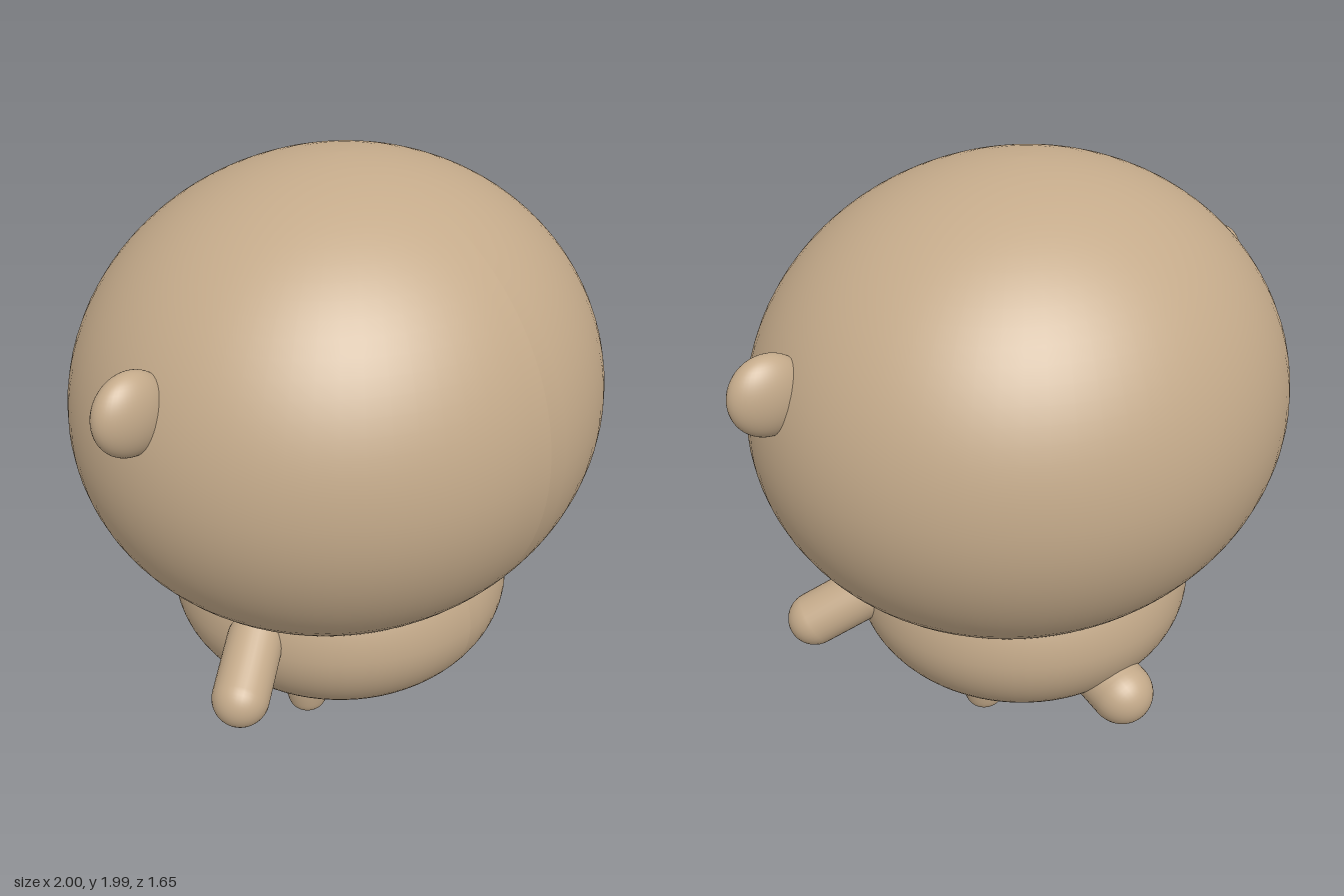
import * as THREE from 'three';

const skin = new THREE.MeshStandardMaterial({ color: 0xc4aa8a });

function addMesh(parent, name, geometry) {
  const mesh = new THREE.Mesh(geometry, skin);
  mesh.name = name;
  parent.add(mesh);
  return mesh;
}

// Egg shape: an ellipsoid whose upper and lower halves differ in height
function egg(rx, rz, up, down) {
  const points = [];
  const steps = 48;
  for (let i = 0; i <= steps; i++) {
    const a = -Math.PI / 2 + (Math.PI * i) / steps;
    const s = Math.sin(a);
    points.push(new THREE.Vector2(Math.max(0, Math.cos(a)), s * (s > 0 ? up : down)));
  }
  const geometry = new THREE.LatheGeometry(points, 72);
  geometry.scale(rx, 1, rz);
  geometry.computeVertexNormals();
  return geometry;
}

// Round-ended limb between two points
function limb(parent, name, from, to, radius) {
  const a = new THREE.Vector3(...from);
  const b = new THREE.Vector3(...to);
  const axis = b.clone().sub(a);
  const mesh = addMesh(parent, name, new THREE.CapsuleGeometry(radius, axis.length(), 12, 32));
  mesh.position.copy(a).add(b).multiplyScalar(0.5);
  mesh.quaternion.setFromUnitVectors(new THREE.Vector3(0, 1, 0), axis.normalize());
}

export function createModel() {
  const model = new THREE.Group();
  model.name = 'bigHeadedCreature';

  // Large head over a small round body
  addMesh(model, 'head', egg(0.895, 0.825, 0.79, 0.75)).position.y = 1.2;
  addMesh(model, 'body', egg(0.575, 0.575, 0.45, 0.39)).position.y = 0.53;

  // Stubby leg profile, tapering to a rounded foot
  const legProfile = new THREE.SplineCurve([
    [0, 0], [0.035, 0.004], [0.06, 0.024], [0.074, 0.065], [0.084, 0.12], [0.089, 0.18], [0.089, 0.28],
  ].map(([x, y]) => new THREE.Vector2(x, y))).getPoints(30);
  legProfile[0].x = 0;

  for (const side of [1, -1]) {
    const label = side > 0 ? 'left' : 'right';

    // Flattened ear
    const ear = addMesh(model, label + 'Ear', new THREE.SphereGeometry(1, 40, 28));
    ear.scale.set(0.125, 0.125, 0.073);
    ear.position.set(side * 0.875, 1.455, 0.035);

    // Arm reaching out, down and forward
    limb(model, label + 'Arm', [side * 0.55, 0.575, 0.145], [side * 0.7, 0.48, 0.232], 0.09);

    const leg = addMesh(model, label + 'Leg', new THREE.LatheGeometry(legProfile, 40));
    leg.position.set(side * 0.172, 0, 0);
  }

  // Short tail at the back
  limb(model, 'tail', [0, 0.36, -0.36], [0, 0.315, -0.54], 0.105);

  return model;
}
